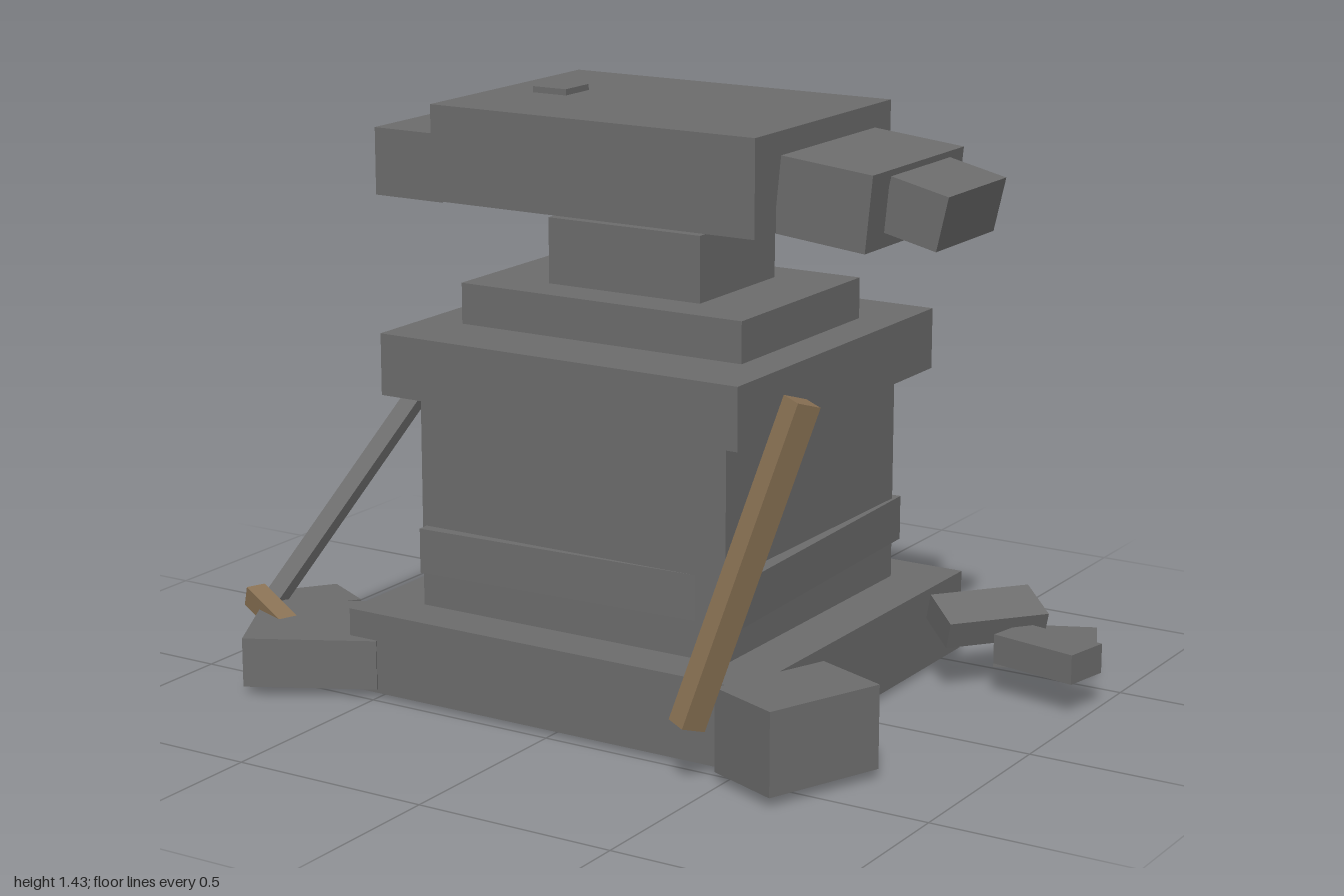
import * as THREE from 'three';

const stone = new THREE.MeshStandardMaterial({ color: 0x6e6e6e });
stone.name = 'grey stone';
const wood = new THREE.MeshStandardMaterial({ color: 0x8b7355 });
wood.name = 'brown wood';

export function createModel() {
  const model = new THREE.Group();
  model.name = 'ruinedPillar';

  // Block aligned to the axes, given by its limits
  function slab(name, [x0, x1], [y0, y1], [z0, z1]) {
    return block(name, stone, [x1 - x0, y1 - y0, z1 - z0], [(x0 + x1) / 2, (y0 + y1) / 2, (z0 + z1) / 2]);
  }

  // Turned block: size runs along its right, up and forward directions
  function block(name, material, size, center, right = [1, 0, 0], up = [0, 1, 0]) {
    const v = new THREE.Vector3(...up).normalize();
    const w = new THREE.Vector3(...right).cross(v).normalize();
    const u = new THREE.Vector3().crossVectors(v, w);
    const mesh = new THREE.Mesh(new THREE.BoxGeometry(...size), material);
    mesh.name = name;
    mesh.quaternion.setFromRotationMatrix(new THREE.Matrix4().makeBasis(u, v, w));
    mesh.position.set(...center);
    model.add(mesh);
    return mesh;
  }

  // Square-cut beam between two points
  function beam(name, material, from, to, width, depth, right) {
    const a = new THREE.Vector3(...from), b = new THREE.Vector3(...to);
    const center = a.clone().add(b).multiplyScalar(0.5).toArray();
    block(name, material, [width, a.distanceTo(b), depth], center, right, b.sub(a).toArray());
  }

  // Stacked pillar
  slab('base', [-0.58, 0.53], [0.01, 0.21], [-0.57, 0.48]);
  slab('shaft', [-0.445, 0.4], [0.21, 0.735], [-0.44, 0.36]);
  block('band', stone, [0.874, 0.11, 0.826], [-0.013, 0.355, -0.04], [1, 0, -0.04]);
  slab('capital', [-0.515, 0.465], [0.735, 0.885], [-0.51, 0.42]);
  slab('upperStep', [-0.41, 0.365], [0.885, 0.985], [-0.32, 0.235]);
  slab('neck', [-0.23, 0.19], [0.985, 1.145], [-0.215, 0.13]);

  // Broken top stone with its end pieces
  slab('topStone', [-0.465, 0.42], [1.185, 1.415], [-0.36, 0.275]);
  slab('topChip', [-0.36, -0.265], [1.415, 1.43], [-0.1, 0]);
  slab('rightEndStone', [-0.685, -0.49], [1.165, 1.33], [-0.295, 0.2]);
  block('leftEndStone', stone, [0.235, 0.18, 0.44], [0.54, 1.262, -0.04], [1, -0.1, 0], [0.1, 1, 0]);
  block('leftEndTip', stone, [0.148, 0.13, 0.285], [0.725, 1.246, -0.045], [1, -0.23, 0], [0.23, 1, 0]);

  // Loose corner stone on the back of the capital
  block('cornerFragment', stone, [0.23, 0.157, 0.19], [-0.477, 0.78, -0.457], [0.78, -0.39, -0.48], [0.45, 0.89, -0.07]);

  // Leaning beams
  beam('woodenBeam', wood, [0.445, 0.145, 0.6], [0.64, 0.88, 0.44], 0.055, 0.065, [0.92, 0, 0.39]);
  beam('stoneBeam', stone, [-0.915, 0.14, 0.35], [-0.635, 0.82, -0.14], 0.05, 0.03, [1, 0, 0]);
  beam('woodenStub', wood, [-0.945, 0.16, 0.39], [-0.72, 0.095, 0.48], 0.05, 0.05, [0.35, 0, -0.9]);

  // Rubble around the foot
  block('frontLeftRubble', stone, [0.2, 0.2, 0.31], [0.63, 0.122, 0.43], [0.185, 0, 0.075]);
  block('frontRightRubble', stone, [0.325, 0.122, 0.31], [-0.715, 0.081, 0.425], [0.29, 0, -0.155]);
  block('smallRightRubble', stone, [0.125, 0.1, 0.18], [-0.91, 0.06, 0.19], [0.92, 0, 0.38], [0.1, 1, -0.05]);
  block('backLeftRubbleTop', stone, [0.26, 0.07, 0.125], [0.693, 0.17, -0.39], [0.62, 0, -0.78], [0.25, 0.95, 0.19]);
  block('backLeftRubbleRear', stone, [0.25, 0.075, 0.115], [0.778, 0.062, -0.543], [0.23, 0, -0.105]);
  block('backLeftRubbleSide', stone, [0.23, 0.073, 0.12], [0.875, 0.119, -0.348], [0.225, 0, 0.045]);

  return model;
}
